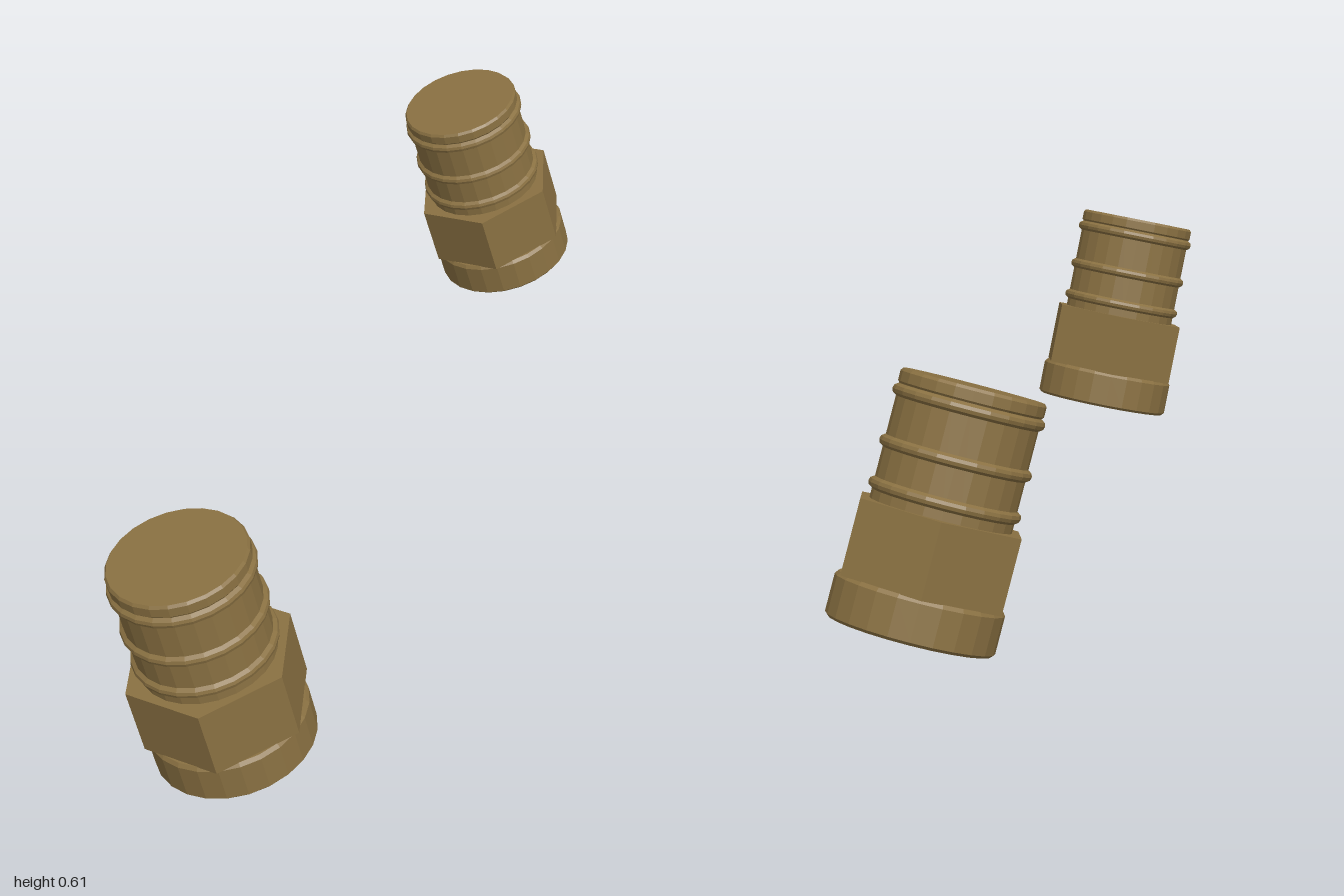
import * as THREE from 'three';

const brass = new THREE.MeshStandardMaterial({ color: 0x8a7142, flatShading: true });
brass.name = 'aged brass';
const black = new THREE.MeshStandardMaterial({ color: 0x111111 });
black.name = 'bore black';

const SIDES = 24;

function addMesh(group, name, geometry, material, y = 0) {
  const mesh = new THREE.Mesh(geometry, material);
  mesh.name = name;
  mesh.position.y = y;
  group.add(mesh);
  return mesh;
}

const lathe = (points) =>
  new THREE.LatheGeometry(points.map(([r, y]) => new THREE.Vector2(r, y)), SIDES);

// One hose fitting, standing on its open end with its axis along y
function createFitting(name) {
  const fitting = new THREE.Group();
  fitting.name = name;

  // Round collar with softened rims
  addMesh(fitting, 'collar', lathe([
    [0, 0], [0.165, 0], [0.171, 0.006], [0.171, 0.082], [0.165, 0.09], [0, 0.09],
  ]), brass);

  // Hexagonal nut, corners pointing along x
  const nut = new THREE.CylinderGeometry(0.184, 0.184, 0.153, 6);
  nut.rotateY(Math.PI / 6);
  addMesh(fitting, 'hexNut', nut, brass, 0.1655);

  // Tail with a slightly wider closed end
  addMesh(fitting, 'tail', lathe([
    [0.143, 0.24], [0.143, 0.472], [0.1465, 0.476], [0.1465, 0.496], [0.142, 0.502], [0, 0.502],
  ]), brass);

  // Raised beads along the tail
  [0.273, 0.357, 0.459].forEach((y, i) => {
    addMesh(fitting, `bead${i + 1}`, lathe([
      [0.142, -0.013], [0.151, -0.007], [0.153, 0], [0.151, 0.007], [0.142, 0.013],
    ]), brass, y);
  });

  // Dark bore opening on the underside
  addMesh(fitting, 'boreOpening', new THREE.CylinderGeometry(0.113, 0.113, 0.006, SIDES), black, 0);

  return fitting;
}

export function createModel() {
  const model = new THREE.Group();
  model.name = 'hoseFittings';

  const frontFitting = createFitting('frontFitting');
  frontFitting.position.set(-0.704, 0.098, 0.829);
  frontFitting.rotation.z = 0.23;

  const backFitting = createFitting('backFitting');
  backFitting.position.set(0.794, 0.053, -0.829);
  backFitting.rotation.z = 0.3;

  model.add(frontFitting, backFitting);
  return model;
}
